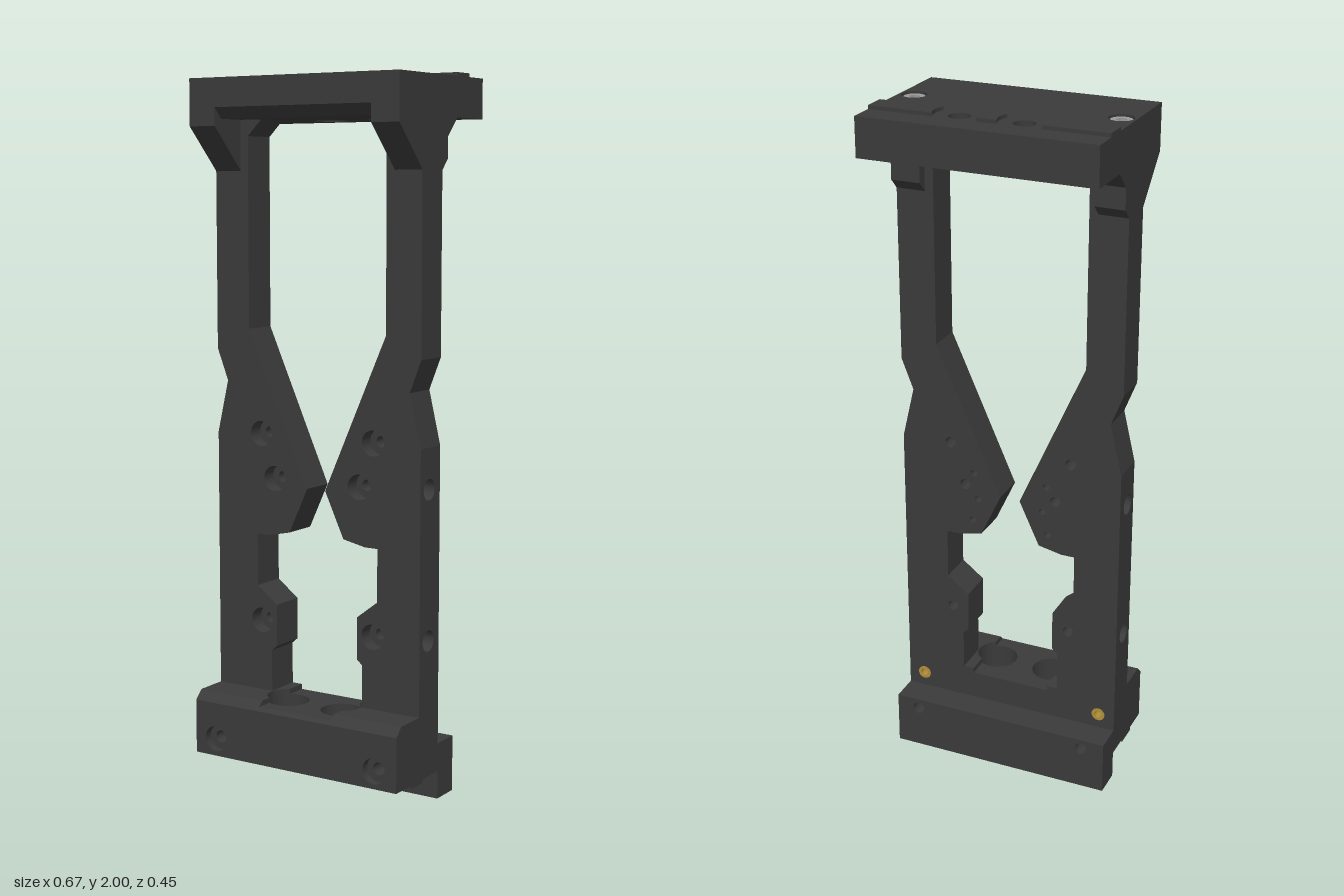
import * as THREE from 'three';

const dark = new THREE.MeshStandardMaterial({ color: 0x3a3a3a });
const steel = new THREE.MeshStandardMaterial({ color: 0x999999 });
const brass = new THREE.MeshStandardMaterial({ color: 0xb08d3a });

const rect = (a, b, c, d) => [[a, b], [c, b], [c, d], [a, d]];
const mirror = (pts, s) => pts.map(([x, ...rest]) => [x * s, ...rest]);

// Polygon with round (or n-sided) holes given as [u, v, radius, sides]; ku, kv flip the axes
function outline(pts, holes, ku, kv) {
  const shape = new THREE.Shape(pts.map(([u, v]) => new THREE.Vector2(u * ku, v * kv)));
  for (const [u, v, r, n = 28] of holes) {
    const ring = [];
    for (let i = 0; i < n; i++) {
      const a = (i / n) * Math.PI * 2;
      ring.push(new THREE.Vector2(u * ku + r * Math.cos(a), v * kv + r * Math.sin(a)));
    }
    shape.holes.push(new THREE.Path(ring));
  }
  return shape;
}

// Arc points around (cx, cz)
function arc(cx, cz, r, from, to, n = 12) {
  return Array.from({ length: n + 1 }, (_, i) => {
    const a = from + ((to - from) * i) / n;
    return [cx + r * Math.cos(a), cz + r * Math.sin(a)];
  });
}

export function createModel() {
  const model = new THREE.Group();

  function add(name, geo, mat = dark) {
    const mesh = new THREE.Mesh(geo, mat);
    mesh.name = name;
    model.add(mesh);
  }
  const extrude = (shape, depth) => new THREE.ExtrudeGeometry(shape, { depth, bevelEnabled: false });
  // Slabs along each axis: outlines in (x,y), (x,z) and (z,y)
  const slabZ = (name, pts, z0, z1, holes = [], mat) =>
    add(name, extrude(outline(pts, holes, 1, 1), z1 - z0).translate(0, 0, z0), mat);
  const slabY = (name, pts, y0, y1, holes = [], mat) =>
    add(name, extrude(outline(pts, holes, 1, -1), y1 - y0).rotateX(-Math.PI / 2).translate(0, y0, 0), mat);
  const slabX = (name, pts, x0, x1, holes = [], mat) =>
    add(name, extrude(outline(pts, holes, -1, 1), x1 - x0).rotateY(Math.PI / 2).translate(x0, 0, 0), mat);

  const W = 0.335, HX = 0.09;
  const pair = (x, z, r) => [[x, z, r], [-x, z, r]];

  // Locating ridges with ends hollowed around the two mounting holes
  function ridges(name, zc, y0, y1) {
    const a = Math.asin(0.033 / 0.07);
    for (const s of [1, -1]) {
      const pts = [...arc(HX, zc, 0.07, -a, a), [W, zc + 0.033], [W, zc - 0.033]];
      slabY(name, mirror(pts, s), y0, y1);
    }
    slabY(name, [
      ...arc(HX, zc, 0.07, Math.PI - a, Math.PI + a),
      ...arc(-HX, zc, 0.07, -a, a),
    ], y0, y1);
  }

  // Top plate: large bores below, clearance holes, screw pockets on top
  const zTop = -0.113, screwZ = 0.037, screwX = 0.293;
  slabY('topPlateUnderside', rect(-W, -0.222, W, 0.195), 1.88, 1.91, pair(HX, zTop, 0.05));
  slabY('topPlateCore', rect(-W, -0.222, W, 0.225), 1.91, 1.96, pair(HX, zTop, 0.03));
  slabY('topPlate', rect(-W, -0.222, W, 0.225), 1.96, 1.99,
    [...pair(HX, zTop, 0.03), ...pair(screwX, screwZ, 0.035)]);
  slabX('topPlateChamfer', [[0.195, 1.88], [0.225, 1.91], [0.195, 1.91]], -0.28, 0.28);
  ridges('topRidge', zTop, 1.99, 2.0);

  // Column outline (+x side), with the tapered jaw and the stepped lower part
  const column = [
    [W, 1.89], [0.18, 1.89], [0.18, 1.88], [0.225, 1.835], [0.225, 1.3], [0.03, 0.86], [0.09, 0.73],
    [0.16, 0.715], [0.2, 0.715], [0.2, 0.565], [0.135, 0.515], [0.135, 0.395], [0.152, 0.38],
    [0.152, 0.25], [0.3, 0.25], [0.3, 1.0], [W, 1.0], [0.3, 1.15], [W, 1.24],
  ];
  const boltSpots = [[0.185, 1.005], [0.14, 0.88], [0.185, 0.465]];
  const bolts = (r) => boltSpots.map(([x, y]) => [x, y, r]);
  const pinHoles = [[0.112, 0.92, 0.01], [0.1, 0.84, 0.01], [0.117, 0.77, 0.01]];

  for (const s of [1, -1]) {
    const span = (a, b) => (s > 0 ? [a, b] : [-b, -a]);

    // Column in layers: pin holes behind, through holes, counterbores in front
    const col = mirror(column, s);
    slabZ('columnBack', col, 0, 0.03, mirror([...bolts(0.016), ...pinHoles], s));
    slabZ('columnCore', col, 0.03, 0.06, mirror(bolts(0.016), s));
    slabZ('columnFront', col, 0.06, 0.105, mirror(bolts(0.036), s));
    slabX('columnSide', rect(0, 0.25, 0.105, 1.0), ...span(0.3, W),
      [[0.058, 0.885, 0.03], [0.058, 0.465, 0.03]]);

    // Bracket under the top plate
    slabX('bracket', [[0.225, 1.91], [0.225, 1.86], [0.105, 1.74], [0, 1.74], [-0.03, 1.77],
      [-0.03, 1.83], [-0.08, 1.88], [-0.08, 1.91]], ...span(0.25, W));

    // Socket screw in the top plate
    const sx = s * screwX;
    const disc = arc(sx, screwZ, 0.03, 0, Math.PI * 2 * 27 / 28, 27);
    slabY('screwHead', disc, 1.968, 1.985, [[sx, screwZ, 0.016, 6]], steel);
    slabY('screwSocketFloor', disc, 1.96, 1.968, [], steel);

    // Base end blocks with threaded inserts at the back
    const end = mirror(rect(0.16, 0.08, W, 0.245), s);
    const bolt = [s * 0.265, 0.13, 0.018];
    slabZ('baseEndBack', end, 0, 0.06, [bolt, [s * 0.285, 0.205, 0.02]]);
    slabZ('baseEnd', end, 0.06, 0.2, [bolt]);
    const ring = arc(s * 0.285, 0.205, 0.02, 0, Math.PI * 2 * 27 / 28, 27);
    slabZ('insert', ring, -0.002, 0.05, [[s * 0.285, 0.205, 0.011]], brass);

    // Raised shoulder, cut around the counterbore
    const a = Math.acos(0.03 / 0.06);
    const cap = [[0.12, 0], ...arc(HX, 0.113, 0.06, -a, a), [0.12, 0.2], [W, 0.2], [W, 0]];
    slabY('baseShoulder', mirror(cap, s), 0.245, 0.26);
    slabX('baseChamfer', [[0.2, 0.235], [0.225, 0.235], [0.2, 0.26]], ...span(0.12, W));
  }

  // Base middle with counterbored vertical holes
  slabY('baseMiddleLower', rect(-0.16, 0, 0.16, 0.2), 0.08, 0.17, pair(HX, 0.113, 0.03));
  slabY('baseMiddleUpper', rect(-0.16, 0, 0.16, 0.2), 0.17, 0.245, pair(HX, 0.113, 0.06));
  slabX('baseChamferMiddle', [[0.2, 0.235], [0.225, 0.235], [0.215, 0.245], [0.2, 0.245]], -0.12, 0.12);

  // Base front plate, rear foot and lower ridges
  slabZ('baseFront', rect(-W, 0.08, W, 0.235), 0.2, 0.225, pair(0.265, 0.13, 0.037));
  slabZ('rearFoot', rect(-W, 0, W, 0.16), -0.085, 0, pair(0.265, 0.13, 0.018));
  ridges('baseRidge', 0.113, 0.07, 0.08);

  return model;
}
